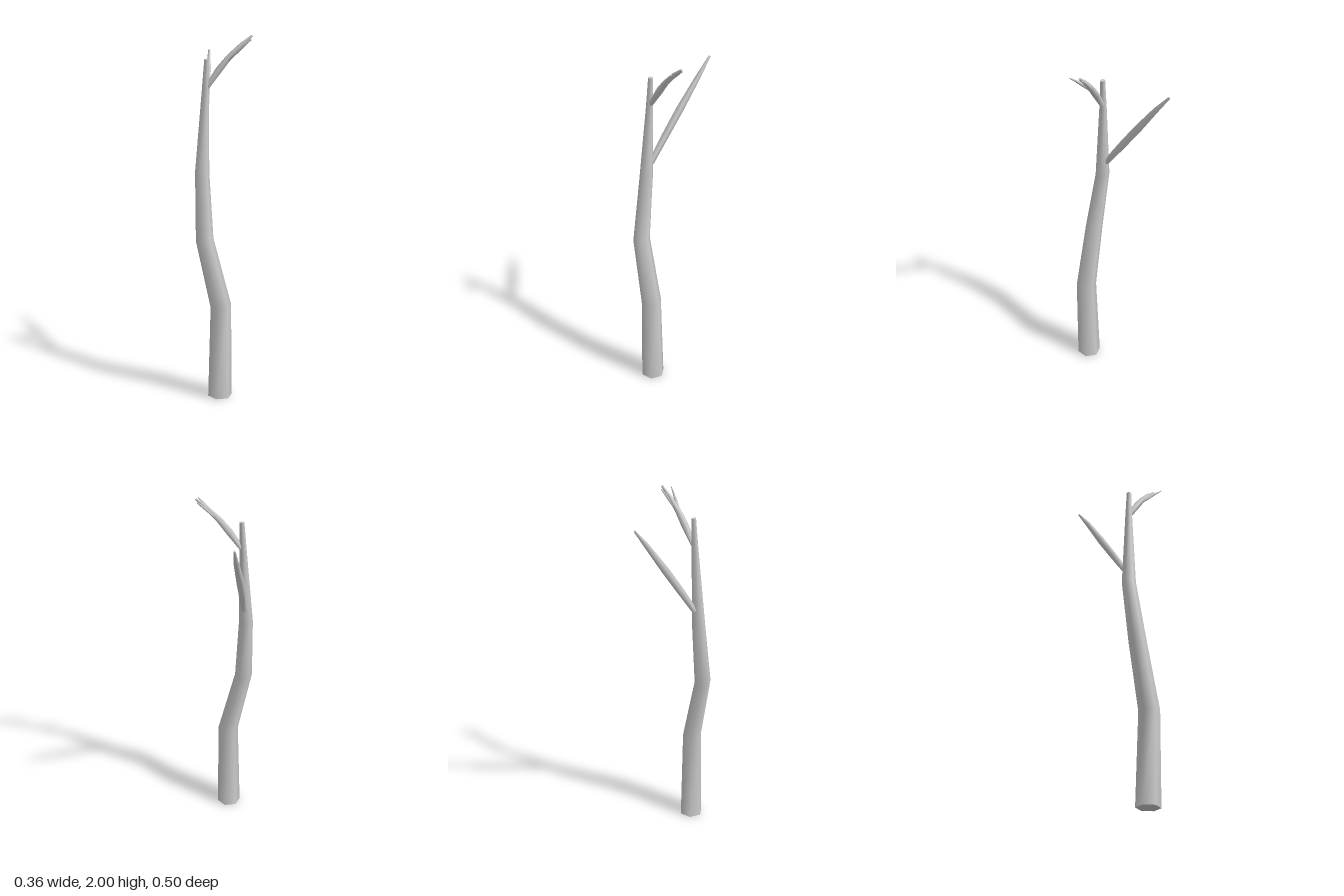
import * as THREE from 'three';

const material = new THREE.MeshStandardMaterial({ color: 0xcccccc });
const UP = new THREE.Vector3(0, 1, 0);

// Tapered limb swept through rings [x, y, z, radius], smooth sides and flat end caps
function limb(name, rings, sides) {
  const centres = rings.map(([x, y, z]) => new THREE.Vector3(x, y, z));
  const last = rings.length - 1;
  const positions = [];
  const index = [];

  const loops = rings.map((ring, i) => {
    const before = centres[Math.max(i - 1, 0)];
    const after = centres[Math.min(i + 1, last)];
    const tilt = new THREE.Quaternion().setFromUnitVectors(UP, after.clone().sub(before).normalize());
    return Array.from({ length: sides }, (_, k) => {
      const a = (k / sides) * Math.PI * 2;
      return new THREE.Vector3(Math.sin(a) * ring[3], 0, Math.cos(a) * ring[3])
        .applyQuaternion(tilt).add(centres[i]);
    });
  });
  loops.flat().forEach((p) => positions.push(p.x, p.y, p.z));

  for (let i = 0; i < last; i++) {
    for (let k = 0; k < sides; k++) {
      const a = i * sides + k;
      const b = i * sides + (k + 1) % sides;
      index.push(a, b, b + sides, a, b + sides, a + sides);
    }
  }
  // Caps have their own vertices so their edges stay sharp
  for (const end of [0, last]) {
    const start = positions.length / 3;
    loops[end].forEach((p) => positions.push(p.x, p.y, p.z));
    for (let k = 1; k < sides - 1; k++) {
      if (end === 0) index.push(start, start + k + 1, start + k);
      else index.push(start, start + k, start + k + 1);
    }
  }

  const geometry = new THREE.BufferGeometry();
  geometry.setAttribute('position', new THREE.Float32BufferAttribute(positions, 3));
  geometry.setIndex(index);
  geometry.computeVertexNormals();
  const mesh = new THREE.Mesh(geometry, material);
  mesh.name = name;
  return mesh;
}

export function createModel() {
  const tree = new THREE.Group();
  tree.name = 'bareTree';

  // Crooked six-sided trunk
  tree.add(limb('trunk', [
    [0.022, 0.003, 0.177, 0.067],
    [0.03, 0.53, 0.182, 0.058],
    [-0.055, 0.905, 0.203, 0.049],
    [-0.082, 1.27, 0.16, 0.039],
    [-0.069, 1.7, 0.139, 0.02],
    [-0.063, 1.87, 0.133, 0.013],
  ], 6));

  // Long branch reaching to the back
  tree.add(limb('backBranch', [
    [-0.085, 1.36, 0.13, 0.017],
    [-0.108, 1.49, 0.04, 0.021],
    [-0.13, 1.625, -0.055, 0.022],
    [-0.153, 1.785, -0.17, 0.015],
    [-0.174, 1.884, -0.246, 0.006],
  ], 5));

  // Upper side branch with two twigs
  tree.add(limb('sideBranch', [
    [-0.063, 1.72, 0.135, 0.014],
    [0.0, 1.815, 0.112, 0.02],
    [0.05, 1.88, 0.096, 0.017],
    [0.11, 1.945, 0.073, 0.012],
    [0.163, 1.993, 0.052, 0.006],
  ], 5));
  tree.add(limb('outerTwig', [
    [0.03, 1.85, 0.103, 0.008],
    [0.1, 1.915, 0.107, 0.009],
    [0.14, 1.95, 0.11, 0.006],
    [0.176, 1.978, 0.112, 0.003],
  ], 5));
  tree.add(limb('innerTwig', [
    [0.075, 1.905, 0.08, 0.008],
    [0.115, 1.945, 0.06, 0.007],
    [0.15, 1.978, 0.043, 0.004],
  ], 5));

  return tree;
}
